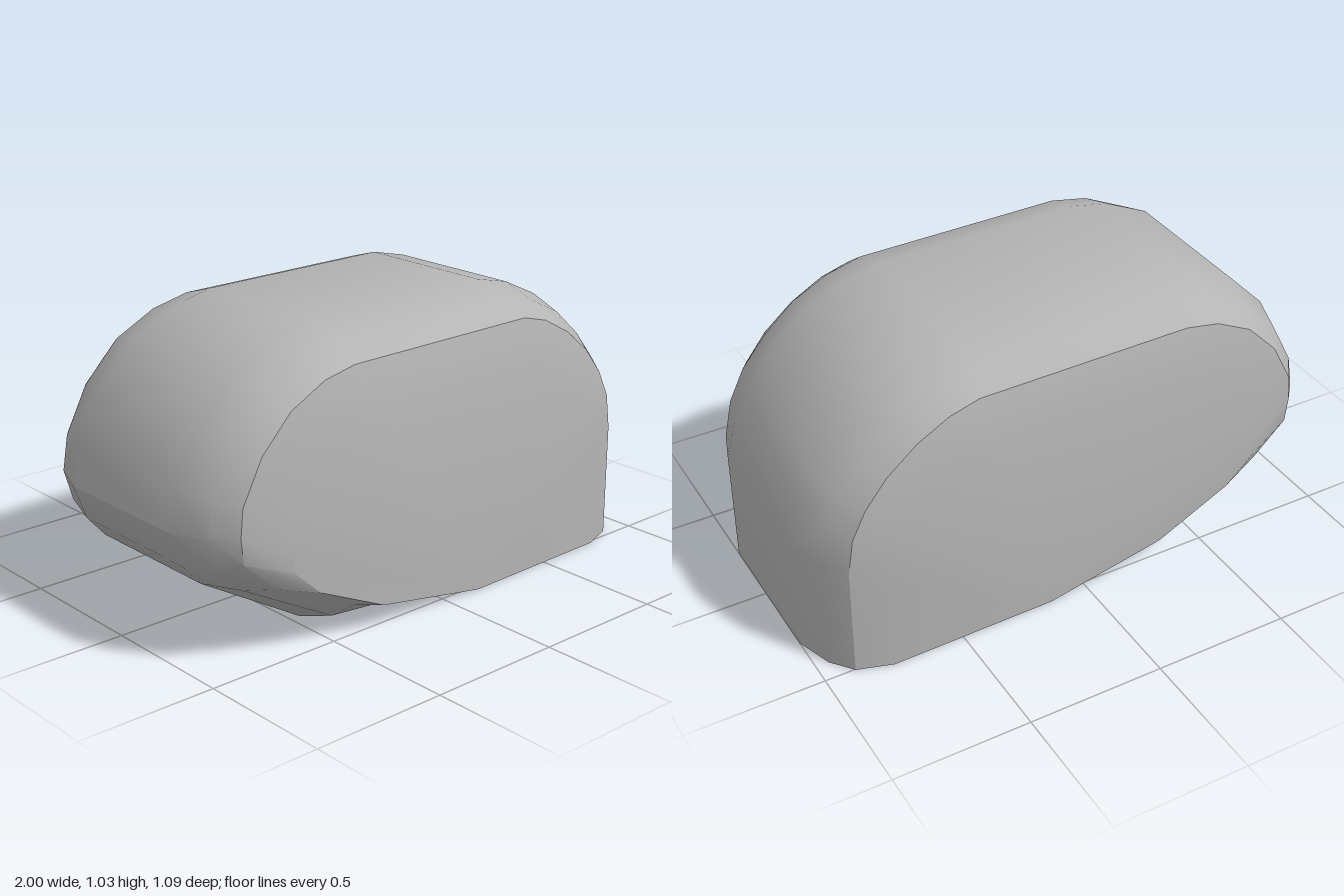
import * as THREE from 'three';
import { toCreasedNormals } from 'three/addons/utils/BufferGeometryUtils.js';

// Outline around the block, clockwise from the bottom left:
// [x, y of the full middle section, x, y of the flat side's rim]
const OUTLINE = [
  [-0.46, 0, -0.40, 0.10],
  [-0.88, 0.25, -0.74, 0.26],
  [-0.95, 0.33, -0.87, 0.38],
  [-1, 0.46, -0.88, 0.47],
  [-0.97, 0.60, -0.87, 0.57],
  [-0.88, 0.77, -0.79, 0.72],
  [-0.73, 0.92, -0.67, 0.84],
  [-0.56, 1.0, -0.53, 0.91],
  [-0.40, 1.035, -0.40, 0.935],
  [0.38, 1.035, 0.40, 0.935],
  [0.53, 1.0, 0.51, 0.905],
  [0.68, 0.93, 0.63, 0.84],
  [0.80, 0.82, 0.74, 0.75],
  [0.90, 0.70, 0.82, 0.65],
  [0.96, 0.58, 0.87, 0.55],
  [1, 0.43, 0.89, 0.42],
  [1, 0, 0.89, 0],
  [0.40, 0, 0.40, 0],
];

// Sections from the side's flat to the middle: [z, inset, scale about the base]
const SECTIONS = [[0.528, 1, 0.83], [0.485, 1, 1], [0.405, 0.42, 1], [0.27, 0, 1]];
const BASE_X = 0.15;

function makeBlock() {
  // The block leans slightly in plan
  const point = (x, y, z) => [x, y, z - 0.02 * x];
  const all = [...SECTIONS, ...SECTIONS.slice().reverse().map(([z, t, s]) => [-z, t, s])];
  const rings = all.map(([z, t, s]) => OUTLINE.map(([ox, oy, ix, iy]) => point(
    BASE_X + (ox + (ix - ox) * t - BASE_X) * s,
    (oy + (iy - oy) * t) * s,
    z)));
  const front = point(BASE_X, 0, 0.53);
  const back = point(BASE_X, 0, -0.53);
  const n = OUTLINE.length;
  const last = rings.length - 1;
  const positions = [];
  const tri = (...corners) => corners.forEach((c) => positions.push(...c));

  for (let j = 0; j < n; j++) {
    const k = (j + 1) % n;
    for (let i = 0; i < last; i++) {
      const [a, b, c, d] = [rings[i][j], rings[i][k], rings[i + 1][k], rings[i + 1][j]];
      // Mirror the diagonal on the back half
      if (i < last / 2) { tri(a, b, c); tri(a, c, d); }
      else { tri(a, b, d); tri(b, c, d); }
    }
    tri(front, rings[0][k], rings[0][j]);
    tri(back, rings[last][j], rings[last][k]);
  }
  const geometry = new THREE.BufferGeometry();
  geometry.setAttribute('position', new THREE.Float32BufferAttribute(positions, 3));
  return toCreasedNormals(geometry, 0.52);
}

export function createModel() {
  const grey = new THREE.MeshStandardMaterial({ color: 0xb4b4b4 });
  grey.name = 'stone grey';
  const block = new THREE.Mesh(makeBlock(), grey);
  block.name = 'roundedBlock';
  const model = new THREE.Group();
  model.name = 'roundedStone';
  model.add(block);
  return model;
}
